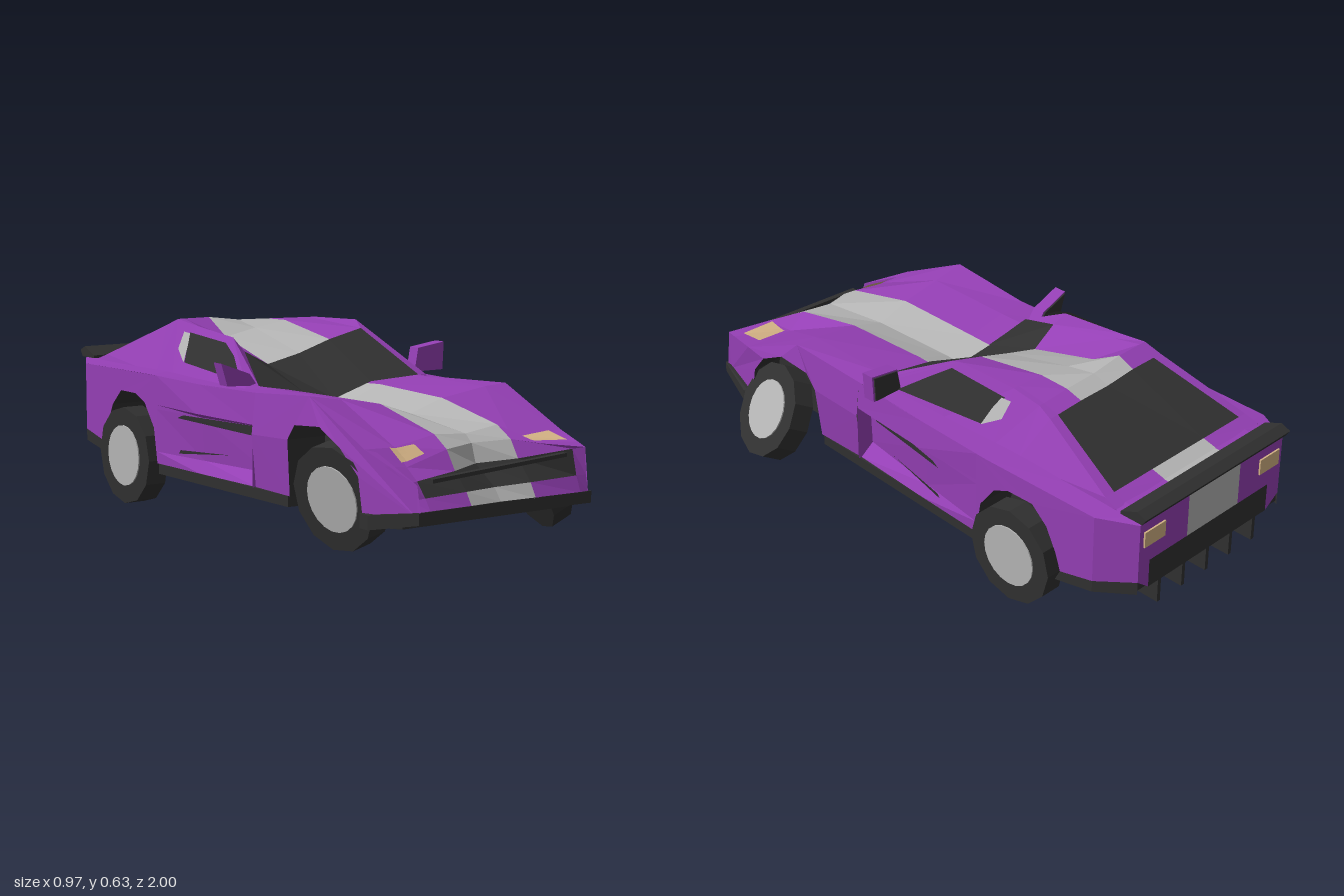
import * as THREE from 'three';

const mat = (name, color) => {
  const m = new THREE.MeshStandardMaterial({ color, flatShading: true, side: THREE.DoubleSide });
  m.name = name;
  return m;
};

export function createModel() {
  const purple = mat('purplePaint', 0x943fb4), silver = mat('silver', 0xb4b4b4);
  const black = mat('blackTrim', 0x303030), amber = mat('lampAmber', 0xd2b184);
  const mats = [purple, silver, black];
  const car = new THREE.Group();
  car.name = 'wreckedSportsCar';
  const add = (name, geo, m, parent = car) => {
    const mesh = new THREE.Mesh(geo, m);
    mesh.name = name;
    parent.add(mesh);
    return mesh;
  };

  // Grid surface from rows of points; paint(row, col) gives the material index
  const grid = (rows, paint = () => 0) => {
    const n = rows[0].length, geo = new THREE.BufferGeometry(), index = [];
    for (let i = 0; i < rows.length - 1; i++) for (let j = 0; j < n - 1; j++) {
      const a = i * n + j;
      geo.addGroup(index.length, 6, paint(i, j));
      index.push(a, a + 1, a + n, a + 1, a + n + 1, a + n);
    }
    geo.setAttribute('position', new THREE.Float32BufferAttribute(rows.flat(2), 3));
    geo.setIndex(index);
    const flat = geo.toNonIndexed();
    flat.groups = geo.groups;
    flat.computeVertexNormals();
    return flat;
  };
  const shape = pts => new THREE.Shape(pts.map(p => new THREE.Vector2(p[0], p[1])));
  const extrude = (pts, depth) => new THREE.ExtrudeGeometry(shape(pts), { depth, bevelEnabled: false });
  // Profile of (z, y) points extruded across x
  const across = (pts, x0, x1) => extrude(pts, x1 - x0).rotateY(-Math.PI / 2).translate(x1, 0, 0);
  // Plan of (x, z) points extruded upwards
  const slab = (pts, y0, y1) => extrude(pts, y1 - y0).rotateX(Math.PI / 2).translate(0, y1, 0);
  // Flat (z, y) outline bent into place by x(z, y)
  const panel = (pts, xOf) => {
    const geo = new THREE.ShapeGeometry(shape(pts)), p = geo.attributes.position;
    for (let i = 0; i < p.count; i++) {
      const z = p.getX(i), y = p.getY(i);
      p.setXYZ(i, xOf(z, y), y, z);
    }
    const flat = geo.toNonIndexed();
    flat.computeVertexNormals();
    return flat;
  };

  // Shoulder line of each flank; the two differ through crash damage
  const Z = [-0.98, -0.85, -0.4, 0, 0.2, 0.53, 0.8, 0.97];
  const flank = {
    left: { s: 1, x: [0.30, 0.36, 0.37, 0.35, 0.335, 0.335, 0.335, 0.285], y: [0.46, 0.455, 0.46, 0.455, 0.455, 0.47, 0.35, 0.32] },
    right: { s: -1, x: [-0.38, -0.45, -0.45, -0.44, -0.43, -0.44, -0.43, -0.365], y: [0.46, 0.455, 0.46, 0.455, 0.46, 0.485, 0.355, 0.265] },
  };
  const at = (table, z) => {
    let i = 0;
    while (i < Z.length - 2 && z > Z[i + 1]) i++;
    const t = THREE.MathUtils.clamp((z - Z[i]) / (Z[i + 1] - Z[i]), 0, 1);
    return table[i] + (table[i + 1] - table[i]) * t;
  };

  // Body top, nose and tail: seven columns, stripe between the third and fifth
  const L = flank.right, R = flank.left;
  const row = (ys, zs, xl, xr, lampX = 0.25) => [xl, -0.32, -0.17, -0.05, 0.075, lampX, xr]
    .map((x, i) => [x, Array.isArray(ys) ? ys[i] : ys, Array.isArray(zs) ? zs[i] : zs]);
  const deck = (z, ys, lampX) => row([at(L.y, z), ...ys, at(R.y, z)], z, at(L.x, z), at(R.x, z), lampX);
  const skin = [
    row(0.185, [0.97, 0.975, 0.98, 0.97, 0.985, 0.99, 0.985], -0.365, 0.285),
    row([0.215, 0.22, 0.225, 0.225, 0.23, 0.235, 0.235], [0.94, 0.95, 0.955, 0.94, 0.96, 0.97, 0.975], -0.365, 0.285),
    row([0.265, 0.265, 0.28, 0.285, 0.295, 0.315, 0.32], [0.93, 0.91, 0.90, 0.85, 0.90, 0.95, 0.97], -0.365, 0.285),
    row([0.312, 0.30, 0.34, 0.345, 0.35, 0.336, 0.329], [0.865, 0.86, 0.86, 0.83, 0.865, 0.91, 0.92], -0.406, 0.30, 0.15),
    deck(0.8, [0.352, 0.378, 0.37, 0.387, 0.336], 0.14),
    deck(0.53, [0.465, 0.44, 0.40, 0.44, 0.465]),
    deck(0.2, [0.46, 0.435, 0.405, 0.45, 0.465]),
    deck(0, [0.46, 0.43, 0.40, 0.44, 0.465]),
    deck(-0.4, [0.47, 0.47, 0.47, 0.47, 0.47]),
    deck(-0.85, [0.47, 0.47, 0.47, 0.47, 0.47]),
    deck(-0.98, [0.47, 0.47, 0.47, 0.47, 0.47]),
    row(0.31, -0.98, -0.38, 0.30),
    row([0.25, 0.21, 0.21, 0.21, 0.21, 0.21, 0.25], -0.98, -0.38, 0.30),
  ];
  const stripe = j => (j === 2 || j === 3 ? 1 : 0);
  const body = add('bodyShell', grid(skin, (i, j) =>
    (i === 1 || i === 11) && j > 0 && j < 5 ? 2 : stripe(j)), mats);
  add('grilleBar', new THREE.BoxGeometry(0.52, 0.012, 0.02).rotateZ(0.06).translate(-0.04, 0.285, 0.95), black);

  // Cabin: windscreen, dented roof, rear window
  const ring = (xs, ys, zs) => xs.map((x, i) => [x, ys[i], Array.isArray(zs) ? zs[i] : zs]);
  const cabin = [
    ring([-0.38, -0.345, -0.17, -0.06, 0.075, 0.25, 0.29], [0.465, 0.465, 0.43, 0.405, 0.455, 0.468, 0.465], [0.09, 0.11, 0.12, 0.13, 0.15, 0.18, 0.17]),
    ring([-0.295, -0.27, -0.17, -0.05, 0.075, 0.2, 0.215], [0.60, 0.555, 0.505, 0.535, 0.575, 0.607, 0.632], [-0.12, -0.09, -0.10, -0.09, -0.09, -0.08, -0.13]),
    ring([-0.295, -0.27, -0.17, -0.05, 0.075, 0.18, 0.20], [0.622, 0.612, 0.575, 0.60, 0.62, 0.625, 0.625], -0.36),
    ring([-0.295, -0.27, -0.17, -0.05, 0.075, 0.18, 0.20], [0.635, 0.635, 0.635, 0.62, 0.617, 0.61, 0.61], -0.47),
    ring([-0.305, -0.27, -0.17, -0.05, 0.075, 0.18, 0.215], [0.61, 0.61, 0.61, 0.60, 0.60, 0.595, 0.595], -0.53),
    ring([-0.375, -0.345, -0.17, -0.05, 0.075, 0.25, 0.29], [0.485, 0.485, 0.485, 0.485, 0.485, 0.485, 0.485], -0.83),
    ring([-0.38, -0.35, -0.17, -0.05, 0.075, 0.25, 0.295], [0.468, 0.468, 0.472, 0.472, 0.472, 0.468, 0.468], -0.88),
  ];
  add('cabin', grid(cabin, (i, j) => ((i === 0 || i === 4) && j > 0 && j < 5 ? 2 : stripe(j))), mats);

  const archFront = [[0.79, 0.16], [0.77, 0.27], [0.70, 0.35], [0.60, 0.40], [0.47, 0.39], [0.43, 0.34], [0.42, 0.16]];
  const archRear = [[-0.36, 0.16], [-0.38, 0.28], [-0.44, 0.36], [-0.50, 0.385], [-0.60, 0.385], [-0.66, 0.33], [-0.70, 0.25], [-0.72, 0.19]];

  for (const [side, f] of Object.entries(flank)) {
    const g = new THREE.Group();
    g.name = side + 'Flank';
    car.add(g);
    const { s } = f, inner = s > 0 ? 0.22 : -0.31;
    const xOf = (z, y) => at(f.x, z) + s * (y > 0.2 && y < 0.42 && z > -0.3 && z < 0.75 ? 0.015 : 0);
    const top = z => [z, at(f.y, z)];

    // Fender and quarter panel with open wheel arches
    add('frontFender', panel([[0.22, 0.16], [0.22, 0.33], top(0.22), top(0.53), top(0.8), top(0.97), [0.985, 0.185], [0.97, 0.17], ...archFront], xOf), purple, g);
    add('quarterPanel', panel([[-0.98, 0.25], top(-0.98), top(-0.85), top(-0.4), top(-0.36), ...archRear, [-0.85, 0.22]], xOf), purple, g);
    add('rearSill', panel([[-0.98, 0.205], [-0.98, 0.25], [-0.85, 0.22], [-0.72, 0.19], [-0.70, 0.15], [-0.85, 0.18]], xOf), black, g);

    // Door with a scoop that sinks in towards the front
    const sunk = [0, 0.005, 0.06, 0.05, 0];
    const doorY = z => [at(f.y, z), 0.36, 0.345, 0.2, 0.16];
    const doorRows = [0.22, -0.1, -0.36].map((z, k) => doorY(z).map((y, i) => [xOf(z, y) - s * sunk[i] * [1, 0.45, 0][k], y, z]));
    add('door', grid(doorRows), purple, g);
    add('scoopLip', panel([[0.22, 0.16], [0.22, 0.36], [0.215, 0.36], [0.215, 0.16]], (z, y) => at(f.x, z) + s * (z > 0.217 ? 0.012 : -0.06)), purple, g);
    add('upperVent', panel([[0.17, 0.315], [0.17, 0.347], [-0.17, 0.347], [-0.2, 0.335]], z => at(f.x, z) + s * (-0.006 - z * 0.13)), black, g);
    add('lowerVent', panel([[0.06, 0.24], [-0.19, 0.228], [-0.2, 0.215]], z => at(f.x, z) + s * (-0.005 - z * 0.1)), black, g);

    // Wheel wells
    for (const arch of [archFront, archRear]) {
      add('wheelArch', grid([arch.map(([z, y]) => [xOf(z, y), y, z]), arch.map(([z, y]) => [inner, y, z])]), black, g);
      add('wheelWell', panel(arch, () => inner), black, g);
    }

    // Cabin side and its window
    const edge = cabin.map(r => r[s > 0 ? 6 : 0]);
    const base = edge.map(p => [s > 0 ? 0.295 : -0.385, 0.455, p[2]]);
    add('cabinSide', grid([edge, base]), purple, g);
    const glassX = (z, y) => (s > 0 ? 0.307 : -0.397) - s * (y - 0.465) * (s > 0 ? 0.57 : 0.56);
    add('sideWindow', panel([[0.07, 0.478], [-0.03, 0.55], [-0.11, s > 0 ? 0.605 : 0.585], [-0.35, 0.60], [-0.30, 0.505]], glassX), black, g);
    add('windowTrim', panel([[-0.38, 0.60], [-0.37, 0.545], [-0.30, 0.505], [-0.32, 0.56], [-0.34, 0.598]], (z, y) => glassX(z, y) + s * 0.004), silver, g);
  }

  // Floor and sills, notched at the wheels
  const rim = f => {
    const inner = f.s > 0 ? 0.22 : -0.31;
    return [[f.x[7], 0.9], [f.x[6], 0.80], [inner, 0.79], [inner, 0.42],
      [at(f.x, 0.42), 0.41], [at(f.x, -0.35), -0.35], [inner, -0.36], [inner, -0.50]];
  };
  add('floorAndSills', slab([...rim(R), ...rim(L).reverse()], 0.125, 0.16), black);
  // Bumper lip whose underside sweeps up to the front edge
  const bumper = slab([[0.345, 0.79], [0.345, 0.83], [0.29, 0.995], [-0.02, 0.98], [-0.37, 0.985], [-0.44, 0.83], [-0.44, 0.79]], 0.12, 0.187);
  const bp = bumper.attributes.position;
  for (let i = 0; i < bp.count; i++) {
    const ahead = bp.getZ(i) > 0.9, under = bp.getY(i) < 0.15;
    bp.setY(i, under ? (ahead ? 0.15 : 0.12) : (ahead ? 0.187 : 0.165));
  }
  bumper.computeVertexNormals();
  add('frontBumper', bumper, black);

  // Diffuser ramp with five long fins
  add('diffuser', across([[-0.46, 0.125], [-0.975, 0.215], [-0.975, 0.25], [-0.72, 0.20], [-0.46, 0.16]], -0.38, 0.30), black);
  for (let i = 0; i < 5; i++) {
    const x = -0.04 + (i - 2) * 0.115;
    add('diffuserFin', across([[-0.48, 0.126], [-0.975, 0.12], [-0.975, 0.23], [-0.69, 0.18]], x - 0.007, x + 0.007), black);
  }
  add('spoiler', across([[-0.9, 0.465], [-0.9, 0.475], [-0.965, 0.503], [-1.0, 0.488], [-0.985, 0.465]], -0.39, 0.30), black);

  // Lamps: headlamps rest on the bent nose, tail lamps on the rear face
  const ray = new THREE.Raycaster();
  const drop = (x, z) => {
    ray.set(new THREE.Vector3(x, 2, z), new THREE.Vector3(0, -1, 0));
    const hit = ray.intersectObject(body)[0];
    return [x, (hit ? hit.point.y : 0.33) + 0.006, z + 0.004];
  };
  // Corners run back-left, back-right, front-right, front-left
  const lamp = ([a, b, c, d]) => [0, 1, 2, 3, 4].map(i => [0, 1, 2, 3, 4].map(j => {
    const mix = k => THREE.MathUtils.lerp(THREE.MathUtils.lerp(d[k], c[k], j / 4), THREE.MathUtils.lerp(a[k], b[k], j / 4), i / 4);
    return drop(mix(0), mix(1));
  }));
  add('rightHeadlamp', grid(lamp([[-0.345, 0.805], [-0.262, 0.815], [-0.25, 0.85], [-0.335, 0.85]])), amber);
  add('leftHeadlamp', grid(lamp([[0.165, 0.80], [0.28, 0.80], [0.27, 0.90], [0.15, 0.885]])), amber);
  for (const x of [-0.315, 0.235]) add('tailLamp', new THREE.BoxGeometry(0.095, 0.055, 0.008).translate(x, 0.40, -0.982), amber);

  // Mirrors
  const mirror = (name, pts, z) => {
    add(name, extrude(pts, 0.045).translate(0, 0, z), purple);
    const c = pts.reduce((a, p) => [a[0] + p[0] / pts.length, a[1] + p[1] / pts.length], [0, 0]);
    const glass = pts.map(p => p.map((v, k) => c[k] + (v - c[k]) * 0.9));
    add(name + 'Glass', extrude(glass, 0.005).translate(0, 0, z - 0.006), black);
  };
  mirror('leftMirror', [[0.28, 0.47], [0.40, 0.47], [0.405, 0.565], [0.295, 0.55]], 0.075);
  mirror('rightMirror', [[-0.455, 0.47], [-0.34, 0.465], [-0.37, 0.505], [-0.478, 0.545]], 0.05);

  // Wheels: the front pair is knocked out of line
  const wheel = (name, pos, axis) => {
    const g = new THREE.Group();
    g.name = name;
    add('tyre', new THREE.CylinderGeometry(0.168, 0.168, 0.075, 12).rotateZ(Math.PI / 2), black, g);
    add('hub', new THREE.CylinderGeometry(0.105, 0.105, 0.008, 20).rotateZ(Math.PI / 2).translate(0.038, 0, 0), silver, g);
    g.position.set(...pos);
    g.quaternion.setFromUnitVectors(new THREE.Vector3(1, 0, 0), new THREE.Vector3(...axis).normalize());
    car.add(g);
  };
  wheel('rearLeftWheel', [0.355, 0.168, -0.53], [1, 0, 0]);
  wheel('rearRightWheel', [-0.443, 0.168, -0.53], [-1, 0.0001, 0]);
  wheel('frontLeftWheel', [0.36, 0.17, 0.635], [0.83, 0.48, 0.22]);
  wheel('frontRightWheel', [-0.395, 0.19, 0.635], [-0.96, -0.18, 0.15]);

  return car;
}
